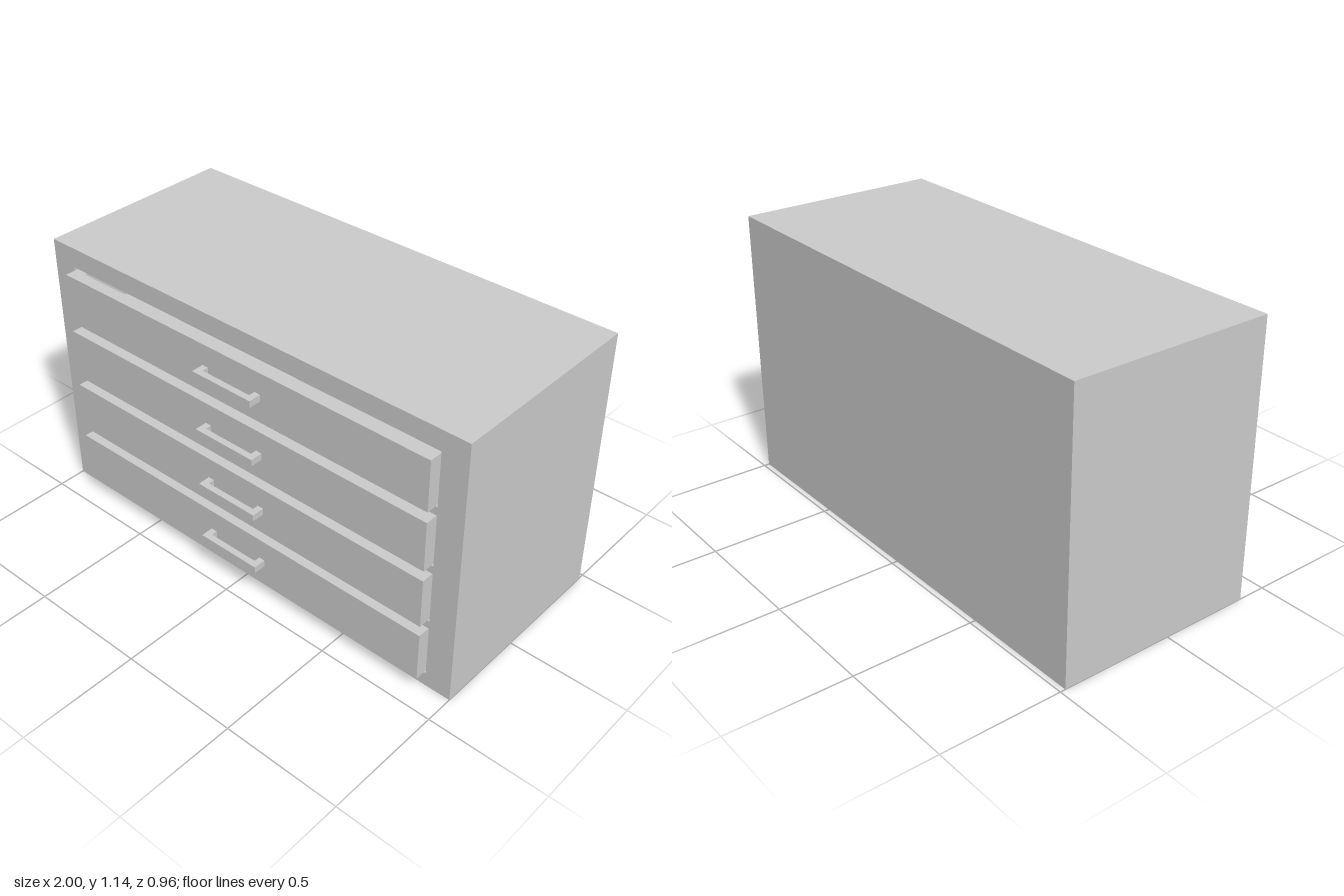
import * as THREE from 'three';

const material = new THREE.MeshStandardMaterial({ color: 0xcccccc, flatShading: true });

const WIDTH = 2, HEIGHT = 1.143, BACK = -0.478, FRONT = 0.38, BACK_PANEL = 0.055;
const DRAWER = { count: 4, halfWidth: 0.885, height: 0.212, bottom: 0.065, pitch: 0.2567, front: 0.427, back: -0.41 };
const GAP = 0.005;

function box(name, x0, x1, y0, y1, z0, z1) {
  const mesh = new THREE.Mesh(new THREE.BoxGeometry(x1 - x0, y1 - y0, z1 - z0), material);
  mesh.position.set((x0 + x1) / 2, (y0 + y1) / 2, (z0 + z1) / 2);
  mesh.name = name;
  return mesh;
}

function rectangle(Type, x0, x1, y0, y1) {
  return new Type([[x0, y0], [x1, y0], [x1, y1], [x0, y1]].map(([x, y]) => new THREE.Vector2(x, y)));
}

// Cabinet body with one opening per drawer, closed by a back panel
function createCabinet() {
  const cabinet = new THREE.Group();
  cabinet.name = 'cabinet';
  const outline = rectangle(THREE.Shape, -WIDTH / 2, WIDTH / 2, 0, HEIGHT);
  for (let i = 0; i < DRAWER.count; i++) {
    const y = DRAWER.bottom + i * DRAWER.pitch;
    const top = y + DRAWER.height + (i === DRAWER.count - 1 ? 0.012 : GAP);
    const w = DRAWER.halfWidth + GAP;
    outline.holes.push(rectangle(THREE.Path, -w, w, y - GAP, top));
  }
  const depth = FRONT - BACK - BACK_PANEL;
  const frame = new THREE.Mesh(new THREE.ExtrudeGeometry(outline, { depth, bevelEnabled: false }), material);
  frame.position.z = BACK + BACK_PANEL;
  frame.name = 'frame';
  cabinet.add(frame, box('backPanel', -WIDTH / 2, WIDTH / 2, 0, HEIGHT, BACK, BACK + BACK_PANEL));
  return cabinet;
}

// Open-topped tray with a squared pull handle
function createDrawer() {
  const drawer = new THREE.Group();
  const { halfWidth: w, height, front, back } = DRAWER;
  const wall = 0.053, frontWall = 0.049, floor = 0.04;

  // Walls are a rectangular ring drawn in plan and raised to the drawer height
  const plan = rectangle(THREE.Shape, -w, w, -front, -back);
  plan.holes.push(rectangle(THREE.Path, -w + wall, w - wall, -front + frontWall, -back - wall));
  const wallsGeometry = new THREE.ExtrudeGeometry(plan, { depth: height, bevelEnabled: false });
  wallsGeometry.rotateX(-Math.PI / 2);
  const walls = new THREE.Mesh(wallsGeometry, material);
  walls.name = 'drawerWalls';
  drawer.add(walls, box('drawerFloor', -w + wall, w - wall, 0, floor, back + wall, front - frontWall));

  // U-shaped handle, drawn in plan
  const reach = 0.053, bar = 0.027, half = 0.142;
  const grip = new THREE.Shape([
    [-half, 0], [-half, -reach], [half, -reach], [half, 0],
    [half - bar, 0], [half - bar, -reach + bar], [-half + bar, -reach + bar], [-half + bar, 0],
  ].map(([x, y]) => new THREE.Vector2(x, y)));
  const handleGeometry = new THREE.ExtrudeGeometry(grip, { depth: 0.028, bevelEnabled: false });
  handleGeometry.rotateX(-Math.PI / 2);
  const handle = new THREE.Mesh(handleGeometry, material);
  handle.position.set(0, 0.093, front);
  handle.name = 'handle';
  drawer.add(handle);
  return drawer;
}

export function createModel() {
  const model = new THREE.Group();
  model.name = 'drawerCabinet';
  model.add(createCabinet());
  for (let i = 0; i < DRAWER.count; i++) {
    const drawer = createDrawer();
    drawer.name = `drawer${i + 1}`;
    drawer.position.y = DRAWER.bottom + i * DRAWER.pitch;
    model.add(drawer);
  }
  return model;
}
